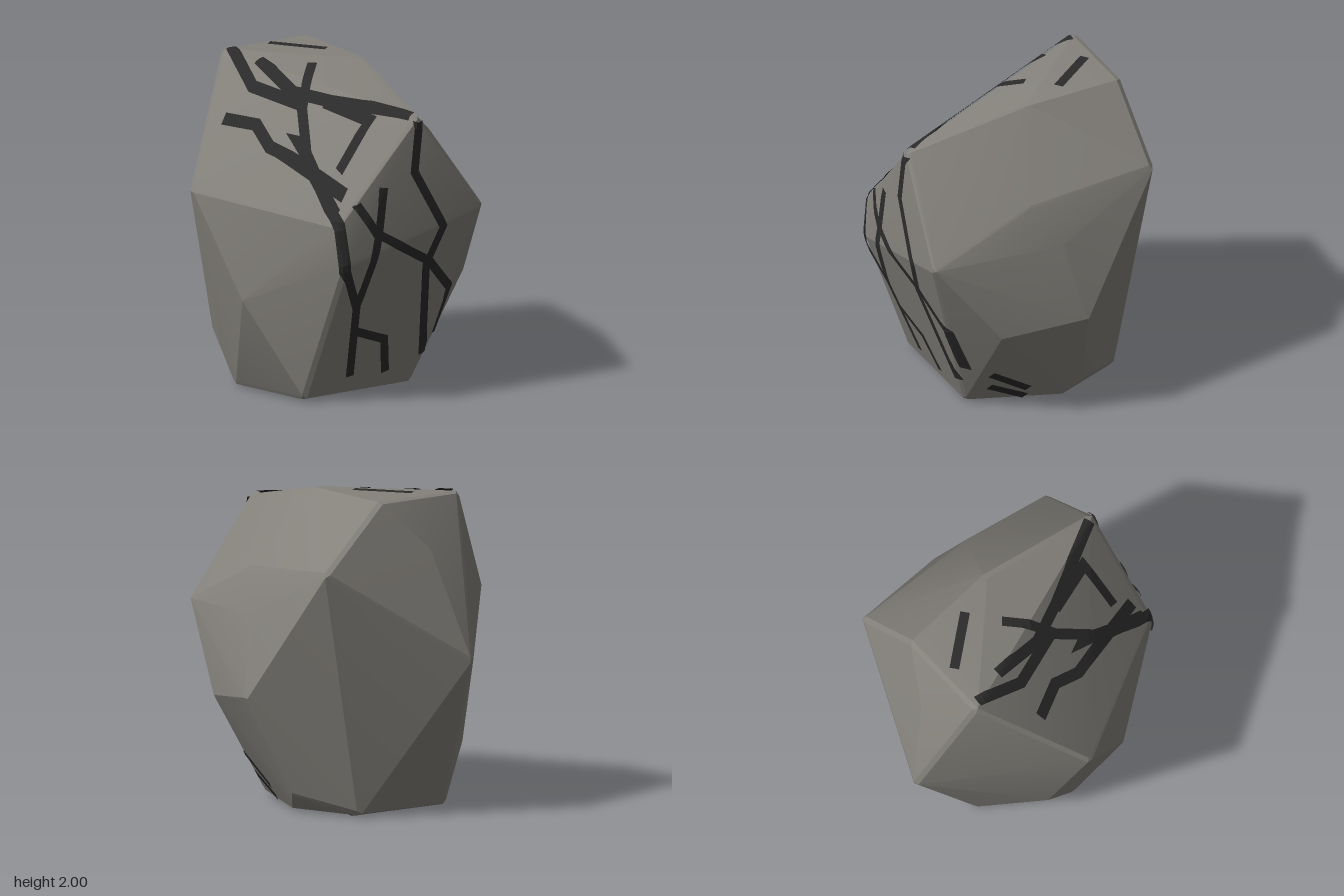
import * as THREE from 'three';
import { ConvexGeometry } from 'three/addons/geometries/ConvexGeometry.js';
import { toCreasedNormals } from 'three/addons/utils/BufferGeometryUtils.js';

const BEVEL = 0.035, LIFT = 0.014;

// Flat base and crown outlines as x, z, then the free corners between them
const BASE = [[0.33, 0.51], [-0.43, 0.54], [-0.61, 0.02], [-0.3, -0.5], [0.32, -0.49], [0.52, -0.06]];
const CROWN = [[-0.36, -0.56], [0.22, -0.58], [0.27, 0.05]];
const CORNERS = [
  [0.2, 1.8, 0.85], [0.64, 1.2, 0.87], [-0.33, 0.94, 0.89], [-0.36, 1.18, 0.855], // front
  [0.65, 1.58, -0.61], [0.66, 1.5, 0.23], [0.765, 1.25, 0.05],
  [0.875, 0.73, -0.06], [0.75, 0.65, 0.46], [0.58, 0.1, -0.14],                   // +x side
  [-0.22, 1.0, -0.93], [-0.05, 1.69, -0.725],                                     // back
  [-0.88, 1.27, -0.07], [-0.74, 0.62, 0.31], [-0.64, 0.3, -0.2]                   // -x side
];

// Each corner becomes a tiny ball so the hull has softened edges
function makeRock() {
  const ball = new THREE.IcosahedronGeometry(BEVEL, 0).getAttribute('position');
  const offsets = new Map();
  for (let i = 0; i < ball.count; i++) {
    const v = new THREE.Vector3().fromBufferAttribute(ball, i);
    offsets.set(v.toArray().map(n => n.toFixed(3)).join(), v);
  }
  const centre = new THREE.Vector3(0, 1, 0);
  const points = [];
  const addCorner = (x, y, z, flatY) => {
    const p = new THREE.Vector3(x, y, z);
    p.addScaledVector(centre.clone().sub(p).normalize(), BEVEL);
    if (flatY !== undefined) p.y = flatY;
    for (const v of offsets.values()) points.push(p.clone().add(v));
  };
  const rise = BEVEL * 0.851; // height of the ball's upper corners
  BASE.forEach(([x, z]) => addCorner(x, 0, z, 0.012 + rise));
  CROWN.forEach(([x, z]) => addCorner(x, 2, z, 1.985 - rise));
  CORNERS.forEach(c => addCorner(...c));
  return toCreasedNormals(new ConvexGeometry(points), 0.25);
}

// Per side: ray onto the rock for path coordinates a, b, and ribbon width.
// Sides whose path plane is mirrored need flipped winding.
const SIDES = {
  front: { ray: (a, b) => [new THREE.Vector3(a, b, 3), new THREE.Vector3(0, 0, -1)], width: 0.056, flip: false },
  top: { ray: (a, b) => [new THREE.Vector3(a, 3, b), new THREE.Vector3(0, -1, 0)], width: 0.06, flip: true },
  base: { ray: (a, b) => [new THREE.Vector3(a, -3, b), new THREE.Vector3(0, 1, 0)], width: 0.07, flip: false },
  flank: { ray: (a, b) => [new THREE.Vector3(3, b, a), new THREE.Vector3(-1, 0, 0)], width: 0.05, flip: true }
};

// Crack paths: front as x, y; top as x, z; flank as z, y
const FRONT_CRACKS = [
  [[-0.33, 1.62], [-0.36, 1.25], [-0.33, 0.9], [-0.2, 0.63], [-0.14, 0.14]],
  [[-0.19, 0.47], [0.06, 0.37], [0.12, 0.13]],
  [[0.2, 1.78], [0.16, 1.47], [0.36, 1.1], [0.28, 0.85], [0.38, 0.21]],
  [[-0.24, 1.31], [-0.12, 1.12], [0.3, 0.87], [0.5, 0.65], [0.46, 0.33]],
  [[-0.06, 1.4], [-0.1, 1.12], [-0.2, 0.65]]
];
const TOP_CRACKS = [
  [[-0.33, -0.52], [-0.36, -0.2], [-0.22, 0.16], [-0.35, 0.45], [-0.35, 0.8]],
  [[-0.26, -0.3], [-0.22, 0.05], [-0.1, 0.3], [0.18, 0.81]],
  [[-0.02, -0.06], [-0.24, 0.2]],
  [[-0.56, -0.21], [-0.45, 0], [-0.46, 0.18], [-0.27, 0.77]],
  [[-0.12, 0.28], [0, 0.61], [-0.24, 0.65]],
  [[-0.08, -0.49], [0.16, -0.2]]
];
const FLANK_CRACKS = [[[0.43, 0.29], [0.17, 0.12]], [[0.41, 0.16], [0.17, 0.04]]];

// Flat ribbon that follows a path and clings to the rock
function makeCrack(rock, { ray, width, flip }, path) {
  const pts = path.map(p => new THREE.Vector2(...p));
  const normals = pts.slice(1).map((p, i) => {
    const d = p.clone().sub(pts[i]).normalize();
    return new THREE.Vector2(-d.y, d.x);
  });
  const mitre = i => {
    const a = normals[Math.max(i - 1, 0)], b = normals[Math.min(i, normals.length - 1)];
    const m = a.clone().add(b).normalize();
    return m.multiplyScalar(1 / Math.max(m.dot(b), 0.6));
  };
  const caster = new THREE.Raycaster();
  const drop = p => {
    caster.set(...ray(p.x, p.y));
    const hit = caster.intersectObject(rock)[0];
    return hit ? hit.point.clone().addScaledVector(hit.face.normal, LIFT) : null;
  };
  const STEPS = 8, ACROSS = 4, rows = [];
  for (let s = 0; s < normals.length; s++) {
    for (let k = s ? 1 : 0; k <= STEPS; k++) {
      const t = k / STEPS;
      const mid = pts[s].clone().lerp(pts[s + 1], t);
      const out = mitre(s).lerp(mitre(s + 1), t);
      const row = [];
      for (let j = 0; j <= ACROSS; j++) {
        row.push(drop(mid.clone().addScaledVector(out, width * (j / ACROSS - 0.5))));
      }
      rows.push(row);
    }
  }
  const verts = [];
  const tri = (...t) => { if (t.every(Boolean)) t.forEach(v => verts.push(v.x, v.y, v.z)); };
  for (let i = 0; i < rows.length - 1; i++) {
    for (let j = 0; j < ACROSS; j++) {
      const a = rows[i][j], b = rows[i][j + 1], c = rows[i + 1][j + 1], d = rows[i + 1][j];
      if (flip) { tri(a, b, c); tri(a, c, d); } else { tri(a, c, b); tri(a, d, c); }
    }
  }
  const geo = new THREE.BufferGeometry();
  geo.setAttribute('position', new THREE.Float32BufferAttribute(verts, 3));
  geo.computeVertexNormals();
  return geo;
}

export function createModel() {
  const model = new THREE.Group();
  model.name = 'crackedBoulder';

  const rock = new THREE.Mesh(makeRock(), new THREE.MeshStandardMaterial({ color: 0x85827c }));
  rock.name = 'boulder';
  model.add(rock);

  // Dark cracks
  const cracks = new THREE.Group();
  cracks.name = 'cracks';
  model.add(cracks);
  const dark = new THREE.MeshStandardMaterial({ color: 0x2b2b2b, side: THREE.DoubleSide });
  const addCracks = (side, paths) => paths.forEach((path, i) => {
    const mesh = new THREE.Mesh(makeCrack(rock, SIDES[side], path), dark);
    mesh.name = `${side}Crack${i + 1}`;
    cracks.add(mesh);
  });
  addCracks('front', FRONT_CRACKS);
  addCracks('top', TOP_CRACKS);
  addCracks('flank', FLANK_CRACKS);

  // Four short strips under the base, splayed outward
  const strips = [];
  for (const sx of [-1, 1]) for (const sz of [-1, 1]) {
    strips.push([[0.12 + 0.13 * sx, 0.18 * sz], [0.12 + 0.17 * sx, 0.42 * sz]]);
  }
  addCracks('base', strips);
  return model;
}
